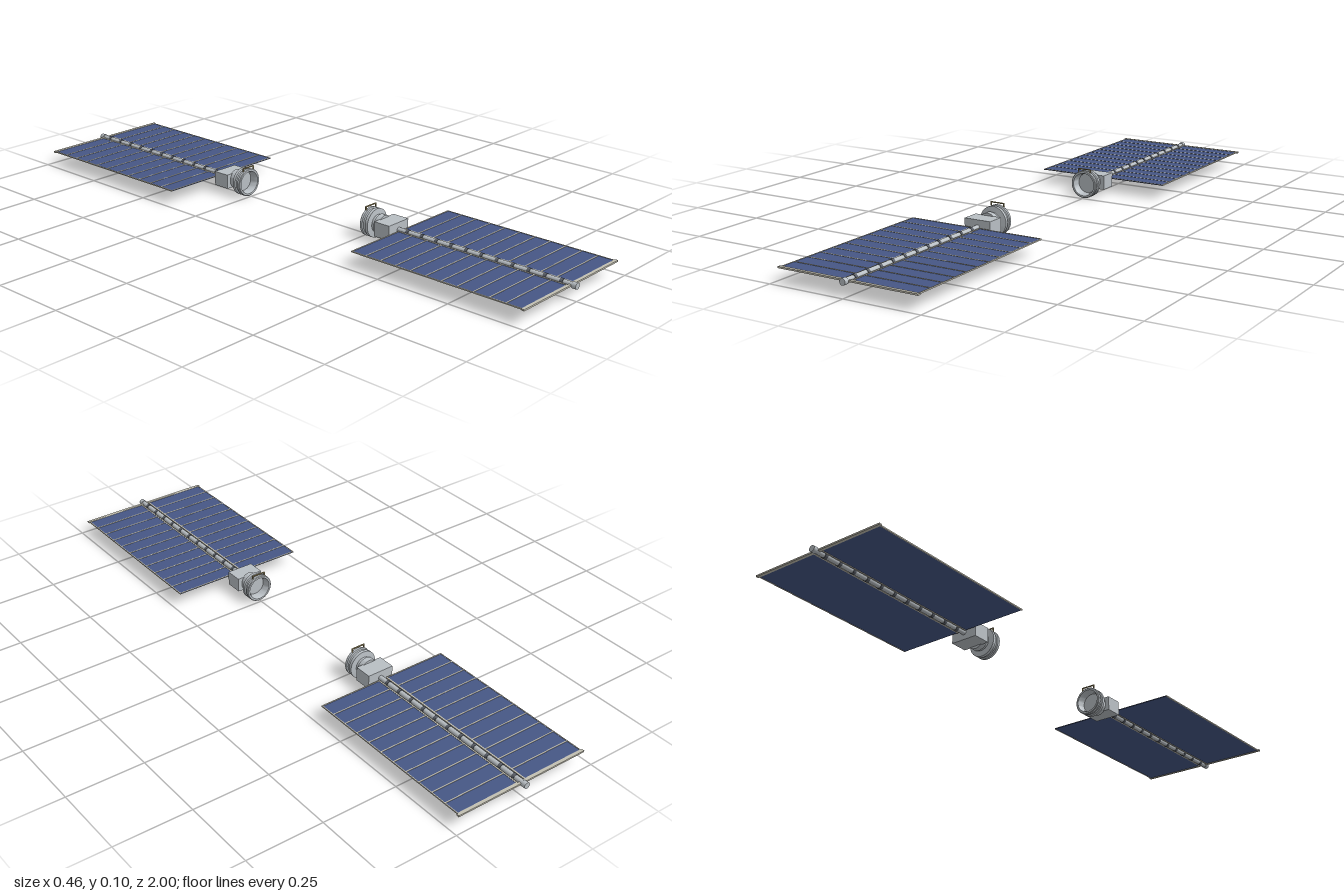
import * as THREE from 'three';
import { toCreasedNormals } from 'three/addons/utils/BufferGeometryUtils.js';

const mat = (name, color, side = THREE.FrontSide) => {
  const m = new THREE.MeshStandardMaterial({ color, side });
  m.name = name;
  return m;
};

const AXIS_Y = 0.047;      // height of the mast axis
const Z0 = 0.382, Z1 = 0.978; // inner and outer end of the panels
const ROWS = 11;

function createWing(m) {
  const wing = new THREE.Group();
  const add = (name, geo, material, x = 0, y = 0, z = 0) => {
    const mesh = new THREE.Mesh(geo, material);
    mesh.name = name;
    mesh.position.set(x, y, z);
    wing.add(mesh);
    return mesh;
  };
  const box = (name, w, h, d, material, x, y, z) =>
    add(name, new THREE.BoxGeometry(w, h, d), material, x, y, z);
  const rod = (name, r, z0, z1, material, sides = 16) =>
    add(name, new THREE.CylinderGeometry(r, r, z1 - z0, sides).rotateX(Math.PI / 2),
      material, 0, 0, (z0 + z1) / 2);

  // Hollow docking ring with two flanges and a neck, turned about the mast axis
  const profile = [
    [0, 0.284], [0.033, 0.284], [0.033, 0.27], [0.038, 0.257], [0.044, 0.257],
    [0.046, 0.259], [0.046, 0.267], [0.042, 0.269], [0.042, 0.276], [0.046, 0.278],
    [0.046, 0.288], [0.028, 0.29], [0.028, 0.3], [0.032, 0.3], [0.032, 0.318], [0, 0.318],
  ].map(([r, z]) => new THREE.Vector2(r, z));
  const ring = new THREE.LatheGeometry(profile, 40).rotateX(Math.PI / 2);
  add('dockingRing', toCreasedNormals(ring, 0.5), m.grey);

  // Drive housing
  box('driveHousing', 0.09, 0.047, 0.058, m.grey, 0, 0, 0.343);

  // Handrail standing on the ring
  box('handrailBar', 0.048, 0.003, 0.004, m.gold, 0, 0.0515, 0.262);
  for (const s of [-1, 1])
    box('handrailPost', 0.003, 0.011, 0.004, m.gold, s * 0.0225, 0.0465, 0.262);

  // Mast with evenly spaced collars and an end cap
  rod('mast', 0.008, 0.37, 0.99, m.grey);
  rod('mastTip', 0.010, 0.985, 1.0, m.grey);
  const pitch = (Z1 - Z0) / ROWS;
  for (let i = 0; i < ROWS; i++) {
    const z = Z0 + (i + 0.5) * pitch;
    rod('mastCollar', 0.0095, z - 0.005, z + 0.005, m.dark);
  }

  // Two blankets of cells with strips between the rows
  const length = Z1 - Z0, mid = (Z0 + Z1) / 2;
  for (const s of [-1, 1]) {
    box('solarBlanket', 0.21, 0.002, length, m.blue, s * 0.121, 0, mid);
    box('outerEdge', 0.003, 0.004, length, m.cream, s * 0.2265, 0, mid);
    box('innerRail', 0.005, 0.004, length, m.cream, s * 0.0145, 0, mid);
    for (let i = 0; i <= ROWS; i++) {
      const z = THREE.MathUtils.clamp(Z0 + i * pitch, Z0 + 0.002, Z1 - 0.002);
      box('rowStrip', 0.21, 0.001, 0.004, m.cream, s * 0.121, 0.0015, z);
    }
  }

  // Spreader bar across the outer end
  box('spreaderBar', 0.464, 0.005, 0.009, m.cream, 0, 0, 0.981);

  return wing;
}

export function createModel() {
  const m = {
    grey: mat('light grey metal', 0xb9bfc4),
    blue: mat('solar cell blue', 0x465786),
    cream: mat('pale cream strip', 0xc2bfb2),
    gold: mat('gold handrail', 0xa8986a),
    dark: mat('dark collar', 0x5a5f68),
  };
  const model = new THREE.Group();
  model.name = 'solarWings';
  // One wing ahead and one turned half way round behind it
  for (const [name, turn] of [['frontWing', 0], ['backWing', Math.PI]]) {
    const wing = createWing(m);
    wing.name = name;
    wing.position.y = AXIS_Y - 0.001;
    wing.rotation.y = turn;
    model.add(wing);
  }
  return model;
}
